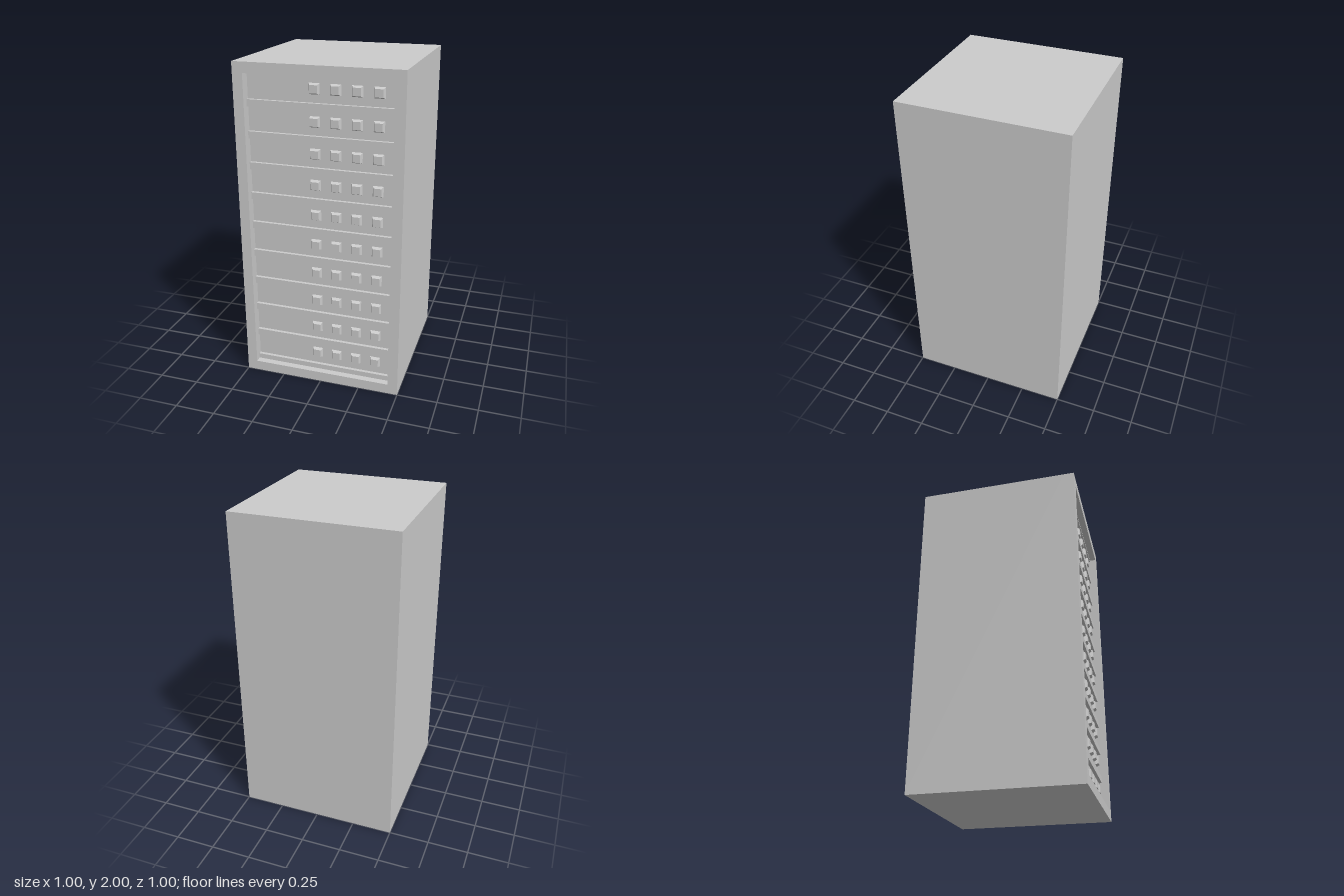
import * as THREE from 'three';

const ROWS = 10, PITCH = 0.1875;
const HALF = 0.4375, LOW = 0.0625, HIGH = 1.9375; // front opening
const PANEL_Z = 0.44, RAIL_Z = 0.46;

export function createModel() {
  const root = new THREE.Group();
  root.name = 'rackCabinet';
  const material = new THREE.MeshStandardMaterial({ color: 0xcccccc, flatShading: true });

  const add = (name, geometry, x, y, z) => {
    const mesh = new THREE.Mesh(geometry, material);
    mesh.name = name;
    mesh.position.set(x, y, z);
    root.add(mesh);
  };

  // Solid cabinet body; its front is the face of the recessed panels
  const bodyDepth = PANEL_Z + 0.5;
  add('cabinetBody', new THREE.BoxGeometry(1, 2, bodyDepth), 0, 1, -0.5 + bodyDepth / 2);

  // Raised border around the opening
  const border = new THREE.Shape([[-0.5, 0], [0.5, 0], [0.5, 2], [-0.5, 2]]
    .map(([x, y]) => new THREE.Vector2(x, y)));
  border.holes.push(new THREE.Path([[-HALF, LOW], [-HALF, HIGH], [HALF, HIGH], [HALF, LOW]]
    .map(([x, y]) => new THREE.Vector2(x, y))));
  add('frontFrame', new THREE.ExtrudeGeometry(border, { depth: 0.5 - PANEL_Z, bevelEnabled: false }), 0, 0, PANEL_Z);

  // Rails between the panels, cut off by the opening at top and bottom
  for (let i = 0; i <= ROWS; i++) {
    const bottom = Math.max(LOW, 0.0515 + i * PITCH);
    const top = Math.min(HIGH, 0.095 + i * PITCH);
    add('rail', new THREE.BoxGeometry(HALF * 2, top - bottom, RAIL_Z - PANEL_Z),
      0, (bottom + top) / 2, (PANEL_Z + RAIL_Z) / 2);
  }

  // Four tapered square buttons on each panel
  const button = new THREE.CylinderGeometry(0.046 / Math.SQRT2, 0.064 / Math.SQRT2, 0.02, 4)
    .rotateY(Math.PI / 4).rotateX(Math.PI / 2);
  for (let row = 0; row < ROWS; row++) {
    for (let col = 0; col < 4; col++) {
      add('button', button, -0.034 + col * 0.125, 0.174 + row * PITCH, PANEL_Z + 0.01);
    }
  }
  return root;
}
